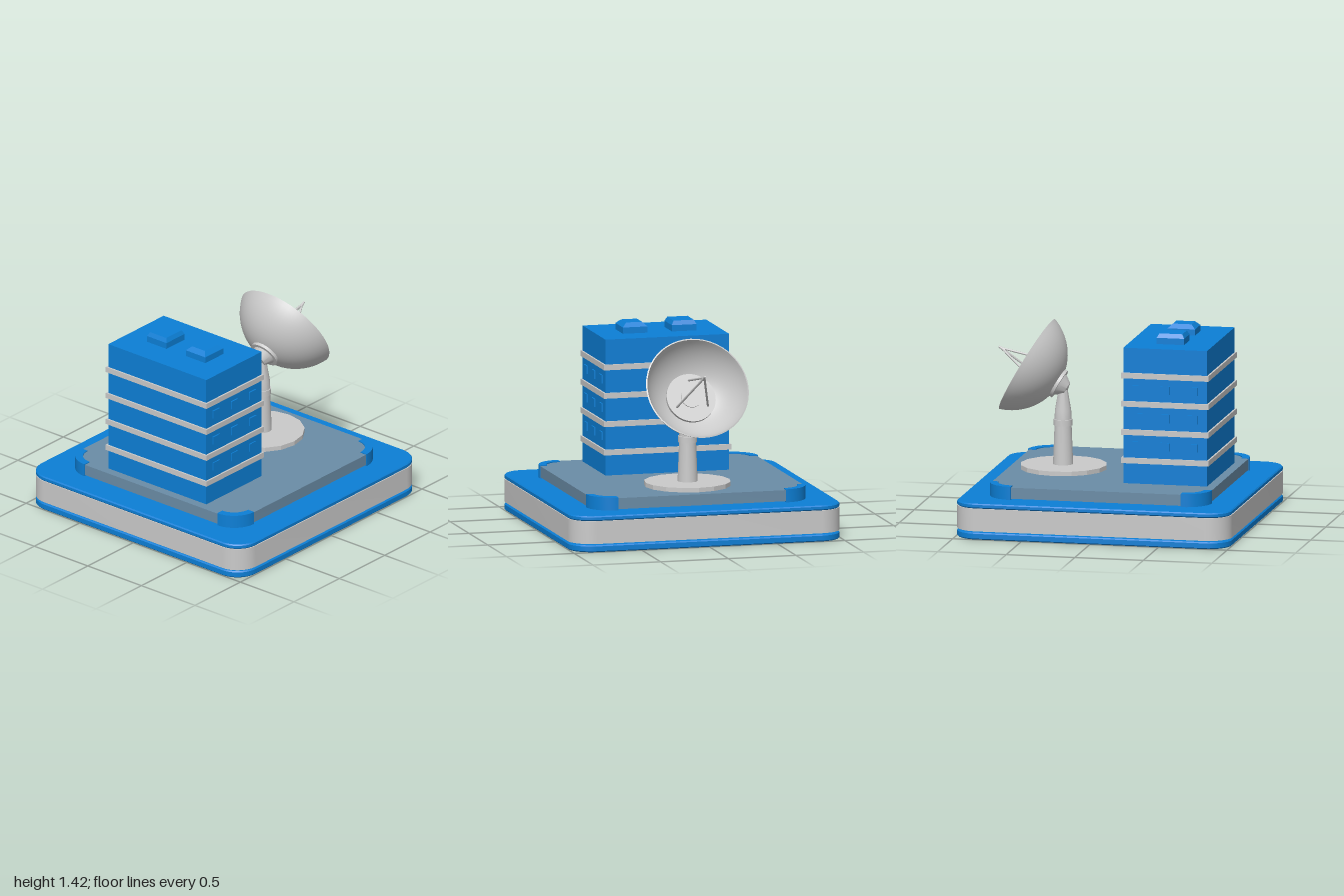
import * as THREE from 'three';
import { toCreasedNormals } from 'three/addons/utils/BufferGeometryUtils.js';

const material = (name, color) => Object.assign(new THREE.MeshStandardMaterial({ color }), { name });

export function createModel() {
  const blue = material('blue', 0x0c7fd6);
  const grey = material('light grey', 0xcacaca);
  const slate = material('slate blue', 0x6a8ca6);
  const model = new THREE.Group();
  model.name = 'satelliteStation';

  function add(name, geometry, mat, x = 0, y = 0, z = 0, parent = model) {
    const mesh = new THREE.Mesh(geometry, mat);
    mesh.name = name;
    mesh.position.set(x, y, z);
    parent.add(mesh);
    return mesh;
  }

  // Upright extrusion of a plan shape from y0 to y1, with an optional chamfer
  function slab(name, shape, y0, y1, mat, bevel = 0) {
    const geo = new THREE.ExtrudeGeometry(shape, {
      depth: y1 - y0 - 2 * bevel, curveSegments: 10, bevelEnabled: bevel > 0,
      bevelSize: bevel, bevelThickness: bevel, bevelOffset: -bevel, bevelSegments: 1,
    });
    geo.rotateX(-Math.PI / 2);
    return add(name, toCreasedNormals(geo, 0.4), mat, 0, y0 + bevel, 0);
  }

  function roundedSquare(h, r) {
    const s = new THREE.Shape();
    const c = h - r;
    s.absarc(c, c, r, 0, Math.PI / 2);
    s.absarc(-c, c, r, Math.PI / 2, Math.PI);
    s.absarc(-c, -c, r, Math.PI, Math.PI * 1.5);
    s.absarc(c, -c, r, Math.PI * 1.5, Math.PI * 2);
    return s;
  }

  // Layered base and raised deck
  const plan = roundedSquare(1, 0.17);
  slab('baseBottom', plan, 0, 0.05, blue, 0.008);
  slab('baseMiddle', plan, 0.06, 0.225, grey);
  slab('baseTop', plan, 0.225, 0.26, blue, 0.008);
  slab('deck', roundedSquare(0.8, 0.18), 0.268, 0.348, slate);

  // Curved guards on the four deck corners
  for (let i = 0; i < 4; i++) {
    const s = new THREE.Shape();
    s.absarc(0.62, 0.62, 0.186, 0, Math.PI / 2, false);
    s.absarc(0.62, 0.62, 0.13, Math.PI / 2, 0, true);
    slab('cornerGuard', s, 0.26, 0.355, blue).rotation.y = i * Math.PI / 2;
  }

  // Office block with floor bands
  add('building', new THREE.BoxGeometry(0.914, 0.982, 0.61), blue, 0, 0.839, 0.43);
  for (let i = 0; i < 4; i++) {
    add('floorBand', new THREE.BoxGeometry(0.94, 0.04, 0.636), grey, 0, 0.515 + i * 0.205, 0.43);
  }

  // Windows on both ends
  for (const side of [-1, 1]) {
    for (let floor = 0; floor < 3; floor++) {
      for (const dz of [-0.2, 0, 0.2]) {
        add('window', new THREE.BoxGeometry(0.02, 0.06, 0.07), blue,
          side * 0.457, 0.622 + floor * 0.205, 0.43 + dz);
      }
    }
  }

  // Roof units: a box with a tapered cap
  function roofUnit(x, inset) {
    add('roofUnit', new THREE.BoxGeometry(0.182, 0.045, 0.2), blue, x, 1.3525, 0.427);
    const cap = new THREE.BoxGeometry(0.182, 0.03, 0.2);
    const p = cap.attributes.position;
    for (let i = 0; i < p.count; i++) {
      if (p.getY(i) > 0) {
        p.setX(i, p.getX(i) - Math.sign(p.getX(i)) * inset);
        p.setZ(i, p.getZ(i) - Math.sign(p.getZ(i)) * inset);
      }
    }
    cap.computeVertexNormals();
    add('roofUnitCap', cap, blue, x, 1.39, 0.427);
  }
  roofUnit(-0.181, 0.016);
  roofUnit(0.181, 0.032);

  // Antenna footing and stepped pedestal
  const lathe = (points, segments = 32) =>
    new THREE.LatheGeometry(points.map(([r, y]) => new THREE.Vector2(r, y)), segments);
  add('antennaFooting', toCreasedNormals(new THREE.CylinderGeometry(0.31, 0.31, 0.032, 16), 0.1),
    grey, 0, 0.364, -0.41);
  const pedestal = lathe([[0.072, 0.375], [0.061, 0.66], [0.067, 0.661], [0.067, 0.705],
    [0.061, 0.706], [0.058, 0.77], [0.036, 0.9], [0.034, 0.95]]);
  add('pedestal', toCreasedNormals(pedestal, 0.5), grey, 0, 0, -0.415);
  add('pivot', new THREE.SphereGeometry(0.056, 24, 16), grey, 0, 0.95, -0.427);

  // Dish group, local +y is the aiming axis and y = 0 the rim plane
  const dish = new THREE.Group();
  dish.name = 'dish';
  dish.position.set(0, 1.0925, -0.6775);
  dish.rotation.x = -Math.PI / 3;
  model.add(dish);
  const R = 0.398, centre = 0.128, rimAngle = Math.asin(0.377 / R);
  const outer = [], inner = [];
  for (let i = 0; i <= 16; i++) {
    const a = rimAngle * i / 16;
    outer.push([R * Math.sin(a), centre - R * Math.cos(a)]);
    inner.unshift([(R - 0.01) * Math.sin(a), centre - (R - 0.01) * Math.cos(a)]);
  }
  add('dishBack', lathe(outer, 48), grey, 0, 0, 0, dish);
  add('dishFront', lathe(inner, 48), grey, 0, 0, 0, dish);
  add('dishRim', lathe([outer[16], inner[0]], 48), grey, 0, 0, 0, dish);

  // Collar behind the dish and stepped plates inside it
  const collar = lathe([[0, -0.335], [0.045, -0.335], [0.085, -0.277], [0.11, -0.276], [0.11, -0.25]]);
  add('dishCollar', toCreasedNormals(collar, 0.5), grey, 0, 0, 0, dish);
  add('dishPlate', new THREE.CylinderGeometry(0.18, 0.18, 0.025, 40), grey, 0, -0.204, 0, dish);
  add('dishCentre', new THREE.CylinderGeometry(0.075, 0.075, 0.01, 32), grey, 0, -0.188, 0, dish);

  // Tripod struts meeting at the feed
  const focus = new THREE.Vector3(0, 0.215, 0);
  for (let i = 0; i < 3; i++) {
    const a = i * Math.PI * 2 / 3;
    const foot = new THREE.Vector3(Math.sin(a) * 0.133, -0.195, Math.cos(a) * 0.133);
    const path = new THREE.LineCurve3(foot, focus);
    add('feedStrut', new THREE.TubeGeometry(path, 1, 0.008, 10), grey, 0, 0, 0, dish);
  }
  add('feed', new THREE.CylinderGeometry(0.007, 0.014, 0.05, 12), grey, 0, 0.212, 0, dish);

  return model;
}
